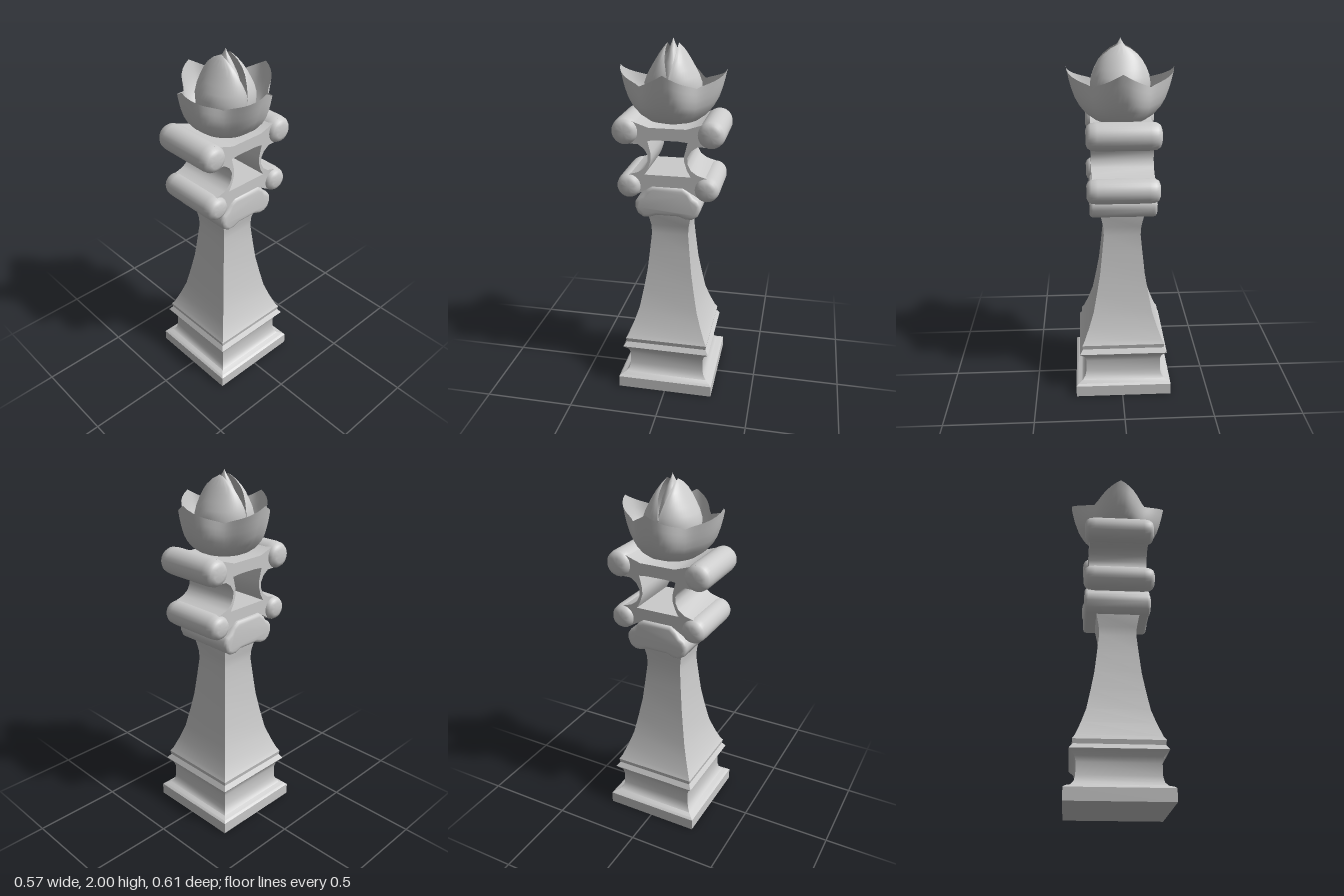
import * as THREE from 'three';
import { toCreasedNormals } from 'three/addons/utils/BufferGeometryUtils.js';

const material = new THREE.MeshStandardMaterial({ color: 0xcccccc });
const thinMaterial = new THREE.MeshStandardMaterial({ color: 0xcccccc, side: THREE.DoubleSide });

const points = (list) => list.map(([x, y]) => new THREE.Vector2(x, y));

function part(name, geometry, crease = 0.7, mat = material) {
  const mesh = new THREE.Mesh(toCreasedNormals(geometry, crease), mat);
  mesh.name = name;
  return mesh;
}

// Surface through a grid of points given by at(i, j)
function gridSurface(rows, cols, at) {
  const position = [];
  const index = [];
  for (let i = 0; i < rows; i++) {
    for (let j = 0; j < cols; j++) {
      position.push(...at(i, j));
      if (i === rows - 1 || j === cols - 1) continue;
      const a = i * cols + j;
      const b = a + cols;
      index.push(a, b, a + 1, a + 1, b, b + 1);
    }
  }
  const geometry = new THREE.BufferGeometry();
  geometry.setAttribute('position', new THREE.Float32BufferAttribute(position, 3));
  geometry.setIndex(index);
  return geometry;
}

// Side profile (z, y) pulled along x, centred, with rounded ends
function pullAlongX(shape, halfLength, bevel) {
  const geometry = new THREE.ExtrudeGeometry(shape, {
    depth: 2 * (halfLength - bevel), curveSegments: 10,
    bevelEnabled: bevel > 0, bevelThickness: bevel, bevelSize: bevel, bevelOffset: -bevel, bevelSegments: 3,
  });
  geometry.translate(0, 0, -(halfLength - bevel));
  return geometry.rotateY(-Math.PI / 2);
}

// Mirrors the right half of an outline (bottom to top) to a closed list
const mirrored = (half) => [...half, ...half.slice().reverse().map(([z, y]) => [-z, y])];

// Roll lying along x with softly rounded ends
function roll(radius, halfLength) {
  const end = [[0, 1], [0.5, 1], [0.78, 0.96], [0.94, 0.87], [1, 0.7]];
  const half = end.map(([r, l]) => [r * radius, -l * halfLength]);
  const profile = [...half, ...half.slice().reverse().map(([r, l]) => [r, -l])];
  return new THREE.LatheGeometry(points(profile), 28).rotateZ(Math.PI / 2);
}

export function createModel() {
  const model = new THREE.Group();
  model.name = 'chessPiece';

  // Square foot, moulding and tapering shaft
  const shaftProfile = [
    [0, 0], [0.274, 0], [0.274, 0.066], [0.262, 0.076], [0.238, 0.085], [0.222, 0.105], [0.215, 0.135],
    [0.214, 0.2], [0.222, 0.23], [0.25, 0.262], [0.232, 0.288], [0.236, 0.312], [0.222, 0.335],
    [0.193, 0.41], [0.167, 0.49], [0.146, 0.6], [0.127, 0.71], [0.114, 0.83], [0.103, 0.94],
    [0.106, 0.99], [0.12, 1.06], [0.12, 1.1], [0, 1.1],
  ].map(([r, y]) => [r * Math.SQRT2, y]);
  const shaft = part('shaft', new THREE.LatheGeometry(points(shaftProfile), 4, Math.PI / 4), 0.6);
  shaft.position.x = -0.006;
  model.add(shaft);

  // Two-lobed collar under the capital
  const collarShape = new THREE.Shape();
  const lobe = [
    [0.06, 1.075], [0.1, 1.06], [0.135, 1.06], [0.165, 1.08], [0.18, 1.115], [0.18, 1.145],
    [0.165, 1.17], [0.14, 1.185], [0.12, 1.215], [0.085, 1.24],
  ];
  collarShape.setFromPoints(points(mirrored(lobe)));
  const collar = part('collar', pullAlongX(collarShape, 0.185, 0.02));
  collar.position.x = -0.01;
  model.add(collar);

  // Capital: plates and waisted walls around an opening that runs through
  const capital = new THREE.Group();
  capital.name = 'capital';
  capital.position.x = -0.006;
  const frame = new THREE.Shape();
  frame.setFromPoints(points(mirrored([
    [0.09, 1.235], [0.14, 1.205], [0.2, 1.17], [0.25, 1.22], [0.21, 1.3], [0.16, 1.315], [0.125, 1.34],
    [0.108, 1.375], [0.106, 1.41], [0.125, 1.445], [0.16, 1.47], [0.225, 1.47], [0.26, 1.53],
    [0.22, 1.605], [0.175, 1.585], [0.1, 1.56],
  ])));
  const opening = new THREE.Path();
  opening.setFromPoints(points(mirrored([
    [0.125, 1.303], [0.105, 1.34], [0.09, 1.385], [0.09, 1.42], [0.107, 1.49], [0.055, 1.495],
  ])));
  frame.holes.push(opening);
  capital.add(part('capitalFrame', pullAlongX(frame, 0.168, 0)));

  // Four rolls, larger above and smaller below, front and back
  for (const side of [1, -1]) {
    for (const [name, y, z, radius] of [['upperRoll', 1.535, 0.23, 0.074], ['lowerRoll', 1.235, 0.212, 0.068]]) {
      const mesh = part(name, roll(radius, 0.196), 0.9);
      mesh.position.set(0, y, side * z);
      capital.add(mesh);
    }
  }
  model.add(capital);

  // Open cup of four pointed petals
  const cupProfile = [[0, 1.56], [0.08, 1.562], [0.15, 1.585], [0.195, 1.62], [0.23, 1.665],
    [0.252, 1.71], [0.268, 1.765], [0.277, 1.81], [0.285, 1.86]];
  const cols = 64;
  const cup = gridSurface(cupProfile.length, cols + 1, (i, j) => {
    const angle = ((j % cols) / cols) * Math.PI * 2;
    const step = Math.PI / 2;
    const off = Math.abs(angle - Math.round(angle / step) * step);
    const rim = 0.2485 + 0.0365 * Math.cos(4 * off);
    const rimY = 1.855 - 0.085 * (rim * Math.sin(off) / 0.15);
    const [r, y] = cupProfile[i];
    const radius = r * THREE.MathUtils.lerp(0.93, rim / 0.285, i / (cupProfile.length - 1));
    return [radius * Math.cos(angle), 1.56 + (y - 1.56) * (rimY - 1.56) / 0.3, radius * Math.sin(angle)];
  });
  model.add(part('petalCup', cup, 0.6, thinMaterial));

  // Bud of two shells with a slit between: [y, half width x, half depth z, half gap]
  const budRows = [
    [1.575, 0.01, 0.01, 0], [1.6, 0.09, 0.09, 0], [1.65, 0.135, 0.132, 0], [1.71, 0.156, 0.15, 0],
    [1.77, 0.16, 0.153, 0], [1.81, 0.154, 0.138, 0.003], [1.85, 0.138, 0.116, 0.012],
    [1.89, 0.115, 0.092, 0.022], [1.92, 0.09, 0.073, 0.027], [1.95, 0.052, 0.052, 0.03], [1.975, 0.002, 0.031, 0.03],
  ];
  const arc = 24;
  for (const side of [1, -1]) {
    const shell = gridSurface(budRows.length, arc + 1, (i, j) => {
      const [y, a, b, gap] = budRows[i];
      const t = (j / arc) * Math.PI;
      return [a * Math.cos(t), y, gap + (b - gap) * Math.sin(t)];
    });
    const mesh = part('budShell', shell, 0.7, thinMaterial);
    mesh.rotation.y = side > 0 ? 0 : Math.PI;
    model.add(mesh);
  }

  // Pointed core inside the bud
  const core = part('budCore', new THREE.LatheGeometry(
    points([[0.11, 1.72], [0.1, 1.81], [0.075, 1.88], [0.04, 1.94], [0.015, 1.975], [0, 2]]), 20));
  core.scale.z = 0.6;
  model.add(core);

  return model;
}
